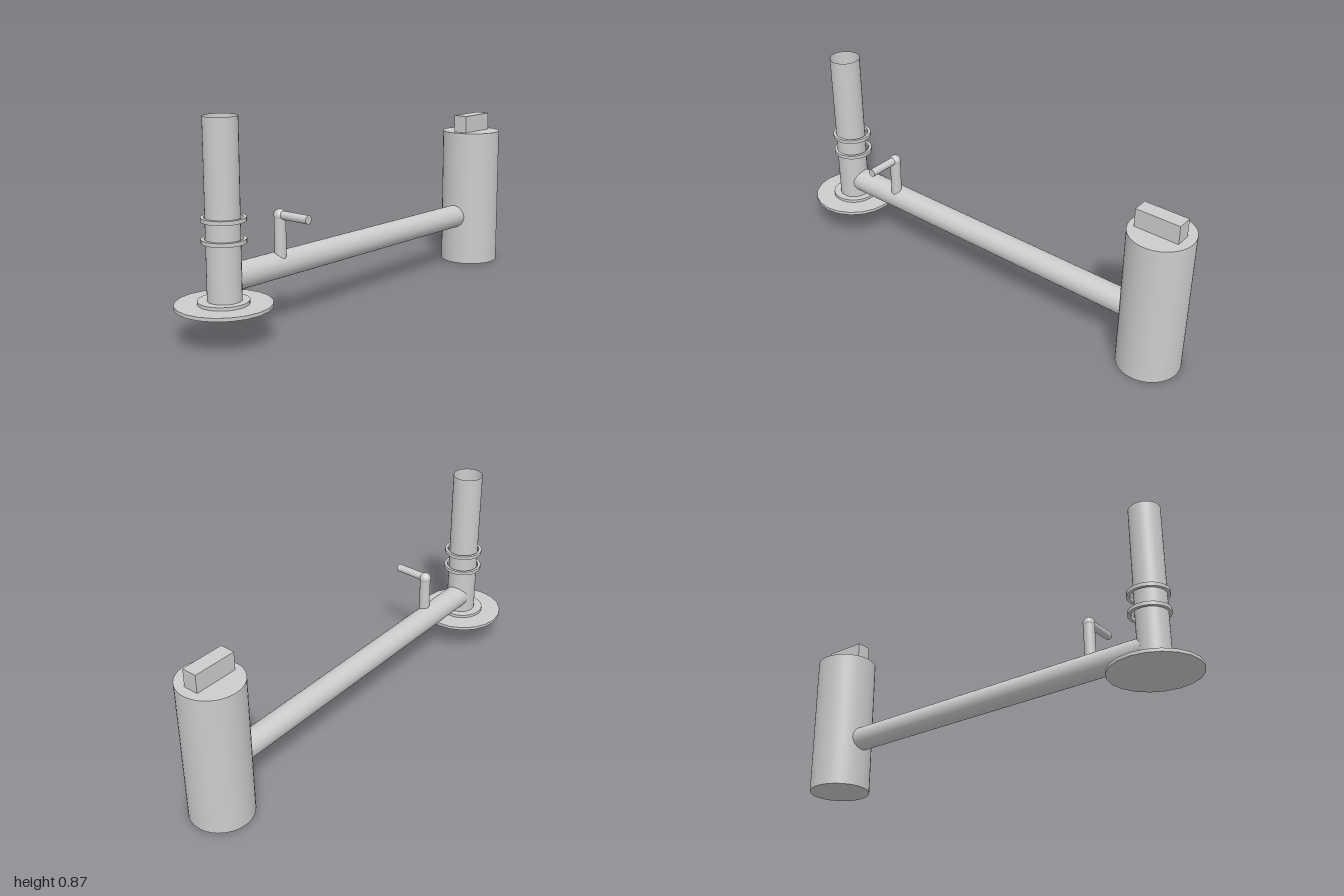
import * as THREE from 'three';

export function createModel() {
  const root = new THREE.Group();
  const solid = new THREE.MeshStandardMaterial({ color: 0xcccccc });
  const thin = new THREE.MeshStandardMaterial({ color: 0xcccccc, side: THREE.DoubleSide });

  function add(name, geometry, x = 0, y = 0, z = 0, material = solid) {
    const mesh = new THREE.Mesh(geometry, material);
    mesh.name = name;
    mesh.position.set(x, y, z);
    root.add(mesh);
    return mesh;
  }

  // Upright cylinder between two heights
  const post = (name, r, y0, y1, x, z, sides = 32, open = false) =>
    add(name, new THREE.CylinderGeometry(r, r, y1 - y0, sides, 1, open),
      x, (y0 + y1) / 2, z, open ? thin : solid);

  // Cylinder running from point a to point b
  function rod(name, r, a, b, sides = 24) {
    const dir = b.clone().sub(a);
    const mesh = add(name, new THREE.CylinderGeometry(r, r, dir.length(), sides));
    mesh.position.copy(a).add(b).multiplyScalar(0.5);
    mesh.quaternion.setFromUnitVectors(new THREE.Vector3(0, 1, 0), dir.normalize());
    return mesh;
  }

  // Tank with a rectangular block on its lid
  post('tank', 0.136, 0, 0.642, 0.862, 0.004, 40);
  add('tankBlock', new THREE.BoxGeometry(0.195, 0.09, 0.067), 0.857, 0.677, 0.0085);

  // Slightly sloping connecting pipe
  rod('connectingPipe', 0.054,
    new THREE.Vector3(-0.78, 0.247, 0.001), new THREE.Vector3(0.78, 0.231, 0.001), 32);

  // Base plate, collar and open standing tube
  post('basePlate', 0.19, 0.143, 0.157, -0.81, 0.001, 20);
  post('baseCollar', 0.101, 0.157, 0.17, -0.812, 0.003);
  post('standingTube', 0.067, 0.165, 0.872, -0.81, 0.007, 32, true);

  // Loose square-section rings around the tube
  const inner = 0.074, outer = 0.087, half = 0.008;
  const ringProfile = [[inner, -half], [outer, -half], [outer, half], [inner, half], [inner, -half]];
  for (const y of [0.4, 0.483]) {
    const ring = new THREE.Group();
    ring.name = 'tubeRing';
    ring.position.set(-0.803, y, 0.004);
    // One lathe per side keeps the edges sharp
    for (let i = 0; i < 4; i++) {
      const side = ringProfile.slice(i, i + 2).map(([r, h]) => new THREE.Vector2(r, h));
      const mesh = new THREE.Mesh(new THREE.LatheGeometry(side, 32), thin);
      mesh.name = 'ringFace';
      ring.add(mesh);
    }
    root.add(ring);
  }

  // Bent spout: riser, elbow ball and outlet towards the front
  post('spoutRiser', 0.024, 0.26, 0.45, -0.515, 0.019, 20);
  add('spoutElbow', new THREE.SphereGeometry(0.026, 20, 14), -0.515, 0.45, 0.019);
  rod('spoutOutlet', 0.0175,
    new THREE.Vector3(-0.515, 0.452, 0.019), new THREE.Vector3(-0.515, 0.452, 0.171), 20);

  return root;
}
